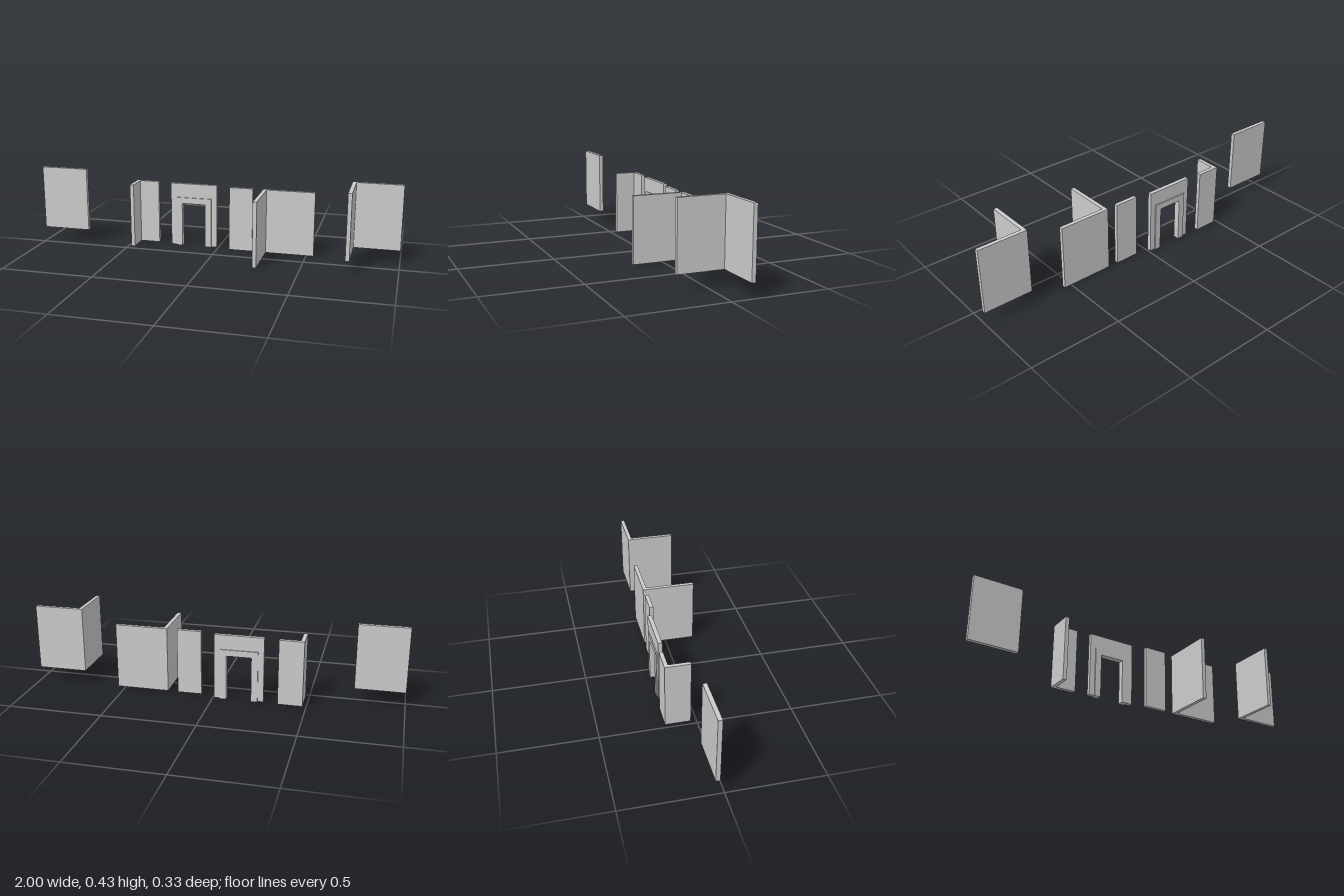
import * as THREE from 'three';

const material = new THREE.MeshStandardMaterial({ color: 0xcccccc });
const THICK = 0.021;

function polygon(points) {
  return new THREE.Shape(points.map(([x, y]) => new THREE.Vector2(x, y)));
}

// Straight wall slab given by its limits on each axis
function slab(name, x0, x1, y0, y1, z0, z1) {
  const mesh = new THREE.Mesh(new THREE.BoxGeometry(x1 - x0, y1 - y0, z1 - z0), material);
  mesh.position.set((x0 + x1) / 2, (y0 + y1) / 2, (z0 + z1) / 2);
  mesh.name = name;
  return mesh;
}

// L-shaped plan extruded upward: back wall along x, side wall coming forward at x0
function cornerWall(name, x0, x1, y0, y1, zBack, zFront) {
  const inner = zBack + THICK;
  const plan = polygon([
    [x0, -zFront], [x0 + THICK, -zFront], [x0 + THICK, -inner],
    [x1, -inner], [x1, -zBack], [x0, -zBack],
  ]);
  const geometry = new THREE.ExtrudeGeometry(plan, { depth: y1 - y0, bevelEnabled: false });
  geometry.rotateX(-Math.PI / 2);
  const mesh = new THREE.Mesh(geometry, material);
  mesh.position.y = y0;
  mesh.name = name;
  return mesh;
}

// Upright arch: an outer rectangle with a doorway cut up from the floor
function arch(name, [x0, x1, top], [in0, in1, inTop], y0, z0, z1) {
  const outline = polygon([
    [x0, y0], [in0, y0], [in0, inTop], [in1, inTop],
    [in1, y0], [x1, y0], [x1, top], [x0, top],
  ]);
  const geometry = new THREE.ExtrudeGeometry(outline, { depth: z1 - z0, bevelEnabled: false });
  const mesh = new THREE.Mesh(geometry, material);
  mesh.position.z = z0;
  mesh.name = name;
  return mesh;
}

export function createModel() {
  const model = new THREE.Group();
  model.name = 'wallPieces';

  // Flat panels
  model.add(slab('widePanel', -1, -0.735, 0.08, 0.433, -0.044, -0.022));
  model.add(slab('narrowPanel', 0.069, 0.2, 0.003, 0.358, -0.125, -0.104));

  // Corner pieces
  model.add(cornerWall('smallCorner', -0.481, -0.35, 0.003, 0.358, -0.163, -0.03));
  model.add(cornerWall('largeCorner', 0.256, 0.541, 0.003, 0.358, -0.123, 0.164));
  model.add(cornerWall('raisedCorner', 0.733, 1, 0.073, 0.429, -0.118, 0.147));

  // Doorway wall with a slightly thicker frame around the opening
  const doorway = new THREE.Group();
  doorway.name = 'doorway';
  doorway.add(arch('doorWall', [-0.273, -0.008, 0.358], [-0.242, -0.039, 0.279], 0.002, -0.151, -0.129));
  doorway.add(arch('doorFrame', [-0.242, -0.039, 0.279], [-0.207, -0.074, 0.245], 0, -0.157, -0.123));
  model.add(doorway);

  return model;
}
